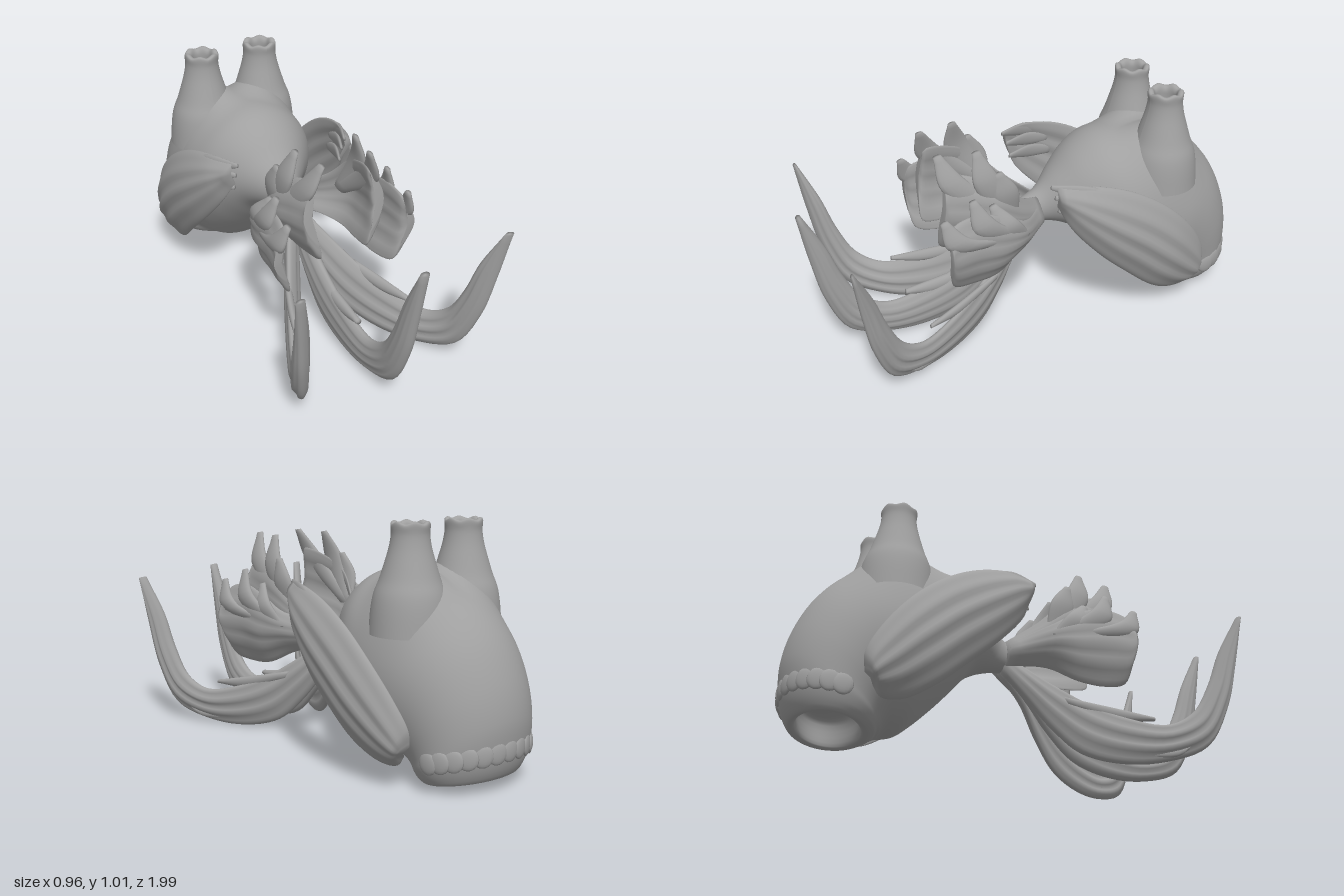
import * as THREE from 'three';

const skin = new THREE.MeshStandardMaterial({ color: 0xa0a0a0 });
skin.name = 'skin grey';

// Closed skin through oval sections. Row: [upper z,y,x, lower z,y,x, half thickness]
function loft(rows, { side = 1, bulge = 0, ridge = 0, folds = 4, steps = 5, ring = 36 } = {}) {
  const v = (z, y, x) => new THREE.Vector3(x * side, y, z);
  const upper = new THREE.CatmullRomCurve3(rows.map(r => v(r[0], r[1], r[2])));
  const lower = new THREE.CatmullRomCurve3(rows.map(r => v(r[3], r[4], r[5])));
  const thick = new THREE.CatmullRomCurve3(rows.map((r, i) => new THREE.Vector3(r[6], i * 0.1, 0)));
  const n = (rows.length - 1) * steps, pos = [], idx = [];
  for (let i = 0; i <= n; i++) {
    const t = i / n, a = upper.getPoint(t), b = lower.getPoint(t), w = thick.getPoint(t).x;
    for (let j = 0; j < ring; j++) {
      const ang = j / ring * Math.PI * 2, k = (1 - Math.cos(ang)) / 2;
      const p = a.clone().lerp(b, k);
      const fade = Math.sin(Math.PI * k) * Math.sin(Math.PI * t);
      p.x += w * Math.sin(ang) + side * (bulge * Math.sin(Math.PI * k) + ridge * fade * Math.cos(folds * 2 * Math.PI * k));
      pos.push(p.x, p.y, p.z);
    }
  }
  for (let i = 0; i < n; i++) for (let j = 0; j < ring; j++) {
    const a = i * ring + j, b = i * ring + (j + 1) % ring;
    idx.push(a, b, a + ring, b, b + ring, a + ring);
  }
  // End caps
  for (const [row, flip] of [[0, true], [n, false]]) {
    const c = new THREE.Vector3();
    for (let j = 0; j < ring; j++) c.add(new THREE.Vector3().fromArray(pos, (row * ring + j) * 3));
    c.divideScalar(ring);
    const ci = pos.length / 3;
    pos.push(c.x, c.y, c.z);
    for (let j = 0; j < ring; j++) {
      const a = row * ring + j, b = row * ring + (j + 1) % ring;
      flip ? idx.push(ci, b, a) : idx.push(a, b, ci);
    }
  }
  // Turn the faces outward
  let volume = 0;
  const at = i => new THREE.Vector3().fromArray(pos, i * 3);
  for (let i = 0; i < idx.length; i += 3) volume += at(idx[i]).dot(at(idx[i + 1]).cross(at(idx[i + 2])));
  if (volume < 0) idx.reverse();
  const g = new THREE.BufferGeometry();
  g.setAttribute('position', new THREE.Float32BufferAttribute(pos, 3));
  g.setIndex(idx);
  g.computeVertexNormals();
  return g;
}

// Centre-plane section
const mid = (za, ya, zb, yb, w) => [za, ya, 0, zb, yb, 0, w];

// Slim ray: [z,y,x] root, middle and tip; [dz,dy] half width direction
function ray(root, middle, tip, [dz, dy], w, side) {
  const rows = [[root, 0.7], [middle, 1], [tip, 0.3]].map(([p, s]) =>
    [p[0] - dz * s, p[1] + dy * s, p[2], p[0] + dz * s, p[1] - dy * s, p[2], w * (0.4 + 0.6 * s)]);
  return loft(rows, { side, ring: 16, steps: 6 });
}

// Vertex rule
function reshape(g, rule) {
  const p = g.attributes.position;
  for (let i = 0; i < p.count; i++) p.setY(i, p.getY(i) + rule(p.getX(i), p.getY(i), p.getZ(i)));
  g.computeVertexNormals();
  return g;
}

export function createModel() {
  const model = new THREE.Group();
  const add = (name, geometry) => {
    const m = new THREE.Mesh(geometry, skin);
    m.name = name;
    model.add(m);
    return m;
  };

  // Body, swelling below each eye stalk and ending in a hollow downward mouth
  const body = loft([
    mid(0.06, 0.52, 0.06, 0.42, 0.04), mid(-0.05, 0.57, -0.1, 0.41, 0.075),
    mid(-0.13, 0.65, -0.2, 0.37, 0.15), mid(-0.22, 0.74, -0.28, 0.28, 0.22),
    mid(-0.32, 0.795, -0.36, 0.19, 0.275), mid(-0.45, 0.805, -0.44, 0.11, 0.305),
    mid(-0.6, 0.785, -0.5, 0.06, 0.315), mid(-0.75, 0.72, -0.54, 0.045, 0.31),
    mid(-0.88, 0.59, -0.565, 0.04, 0.292), mid(-0.96, 0.43, -0.58, 0.035, 0.275),
    mid(-0.99, 0.29, -0.59, 0.03, 0.262), mid(-0.985, 0.19, -0.6, 0.026, 0.255),
    mid(-0.965, 0.095, -0.61, 0.018, 0.235), mid(-0.935, 0.05, -0.64, 0.006, 0.21),
    mid(-0.91, 0.06, -0.66, 0.014, 0.185), mid(-0.9, 0.16, -0.68, 0.12, 0.175),
    mid(-0.84, 0.18, -0.74, 0.15, 0.06),
  ], { ring: 64 });
  add('body', reshape(body, (x, y, z) => {
    const d = Math.hypot(Math.abs(x) - 0.147, z + 0.585);
    return y > 0.5 ? 0.11 * Math.max(0, 1 - d / 0.21) ** 1.5 * Math.min(1, (y - 0.5) / 0.1) : 0;
  }));

  // Scalloped fringe above the mouth
  for (let i = -6; i <= 6; i++) {
    const a = i * 0.25;
    const bead = add('lipScallop', new THREE.SphereGeometry(1, 14, 10));
    bead.scale.set(0.042, 0.045, 0.013);
    bead.position.set(0.256 * Math.sin(a), 0.125 + 0.045 * Math.cos(a), -0.79 - 0.19 * Math.cos(a));
    bead.rotation.y = Math.PI - a;
  }

  // Middle tail streamer
  const streamer = [
    [-0.05, 0.52, -0.05, 0.42, 0.03], [0.05, 0.46, 0.07, 0.31, 0.032],
    [0.18, 0.36, 0.18, 0.17, 0.034], [0.32, 0.27, 0.3, 0.06, 0.034],
    [0.48, 0.2, 0.47, 0.012, 0.033], [0.65, 0.17, 0.66, 0.02, 0.033],
    [0.76, 0.23, 0.83, 0.085, 0.034], [0.835, 0.36, 0.92, 0.26, 0.035],
    [0.895, 0.52, 0.965, 0.46, 0.03], [0.98, 0.69, 1.0, 0.68, 0.02]];
  add('middleTail', loft(streamer.map(r => mid(...r)), { ridge: 0.006 }));
  add('middleTailSpur', ray([0.25, 0.24, 0], [0.42, 0.2, 0], [0.57, 0.2, 0], [0.01, 0.035], 0.022, 1));

  for (const side of [1, -1]) {
    const pre = side > 0 ? 'left' : 'right';

    // Eye stalk with a wavy rim and a hollow end
    const profile = [[0.16, 0.58], [0.152, 0.67], [0.14, 0.735], [0.119, 0.79], [0.1, 0.85], [0.083, 0.91],
      [0.075, 0.96], [0.077, 1.0], [0.07, 1.012], [0.055, 1.008], [0.046, 0.985], [0.044, 0.93], [0, 0.92]];
    const stalk = new THREE.LatheGeometry(
      new THREE.SplineCurve(profile.map(p => new THREE.Vector2(...p))).getPoints(48), 40);
    const wave = (x, y, z) => Math.max(0, (y - 0.96) / 0.05) * 0.005 * (Math.cos(6 * Math.atan2(z, x)) - 1);
    add(pre + 'EyeStalk', reshape(stalk, wave)).position.set(0.147 * side, 0, -0.585);

    // Pectoral fin lying against the flank
    add(pre + 'PectoralFin', loft([
      [-0.02, 0.735, 0.27, -0.03, 0.63, 0.26, 0.012], [-0.15, 0.73, 0.315, -0.08, 0.53, 0.3, 0.022],
      [-0.3, 0.69, 0.34, -0.2, 0.39, 0.33, 0.032], [-0.45, 0.61, 0.355, -0.33, 0.27, 0.335, 0.035],
      [-0.58, 0.50, 0.355, -0.47, 0.15, 0.32, 0.035], [-0.69, 0.36, 0.33, -0.58, 0.09, 0.29, 0.032],
      [-0.74, 0.25, 0.3, -0.66, 0.09, 0.275, 0.025], [-0.73, 0.18, 0.28, -0.69, 0.13, 0.27, 0.01],
    ], { side, bulge: 0.035, ridge: 0.007, folds: 4, ring: 60 }));
    for (const [z, y] of [[0, 0.73], [-0.02, 0.675], [-0.035, 0.61]])
      add(pre + 'PectoralRay', ray([z - 0.24, y - 0.055, 0.345], [z - 0.12, y - 0.025, 0.315], [z, y, 0.262],
        [0.01, 0.03], 0.012, side));

    // Spread tail lobe curling up to a streamer
    add(pre + 'TailLobe', loft(streamer.map(([za, ya, zb, yb, w], i) => {
      const spread = Math.sin(Math.PI * Math.min(1, i / 8)), flare = 0.035 * (i / 9) ** 3;
      za *= 0.91; zb *= 0.905;
      return [za, ya * 0.975, 0.475 * Math.max(za, 0.03) + 0.035 * spread + flare,
        zb, yb * 0.975 - 0.008 * spread, 0.475 * Math.max(zb, 0.03) + flare, w];
    }), { side, ridge: 0.008, folds: 3 }));
    add(pre + 'TailSpur', ray([0.2, 0.27, 0.14], [0.4, 0.215, 0.22], [0.55, 0.2, 0.275], [0.01, 0.028], 0.018, side));
    add(pre + 'TailLowerSpur', ray([0.5, 0.05, 0.25], [0.66, 0.07, 0.33], [0.74, 0.17, 0.375], [-0.02, 0.035], 0.022, side));

    // Upper fan fin with pointed rays
    add(pre + 'UpperFan', loft([
      [-0.04, 0.55, 0.03, -0.04, 0.44, 0.03, 0.025], [0.08, 0.63, 0.13, 0.1, 0.45, 0.09, 0.02],
      [0.18, 0.73, 0.165, 0.22, 0.45, 0.12, 0.018], [0.3, 0.79, 0.145, 0.35, 0.45, 0.115, 0.02],
      [0.4, 0.81, 0.125, 0.44, 0.47, 0.11, 0.024], [0.42, 0.79, 0.13, 0.45, 0.55, 0.125, 0.015],
    ], { side, bulge: 0.045, ridge: 0.007 }));
    for (const [tip, middle] of [[[0.435, 0.895, 0.11], [0.38, 0.77, 0.155]],
      [[0.28, 0.895, 0.14], [0.25, 0.77, 0.175]], [[0.2, 0.8, 0.18], [0.17, 0.7, 0.185]]])
      add(pre + 'UpperRay', ray([0.14, 0.58, 0.16], middle, tip, [0.055, 0.012], 0.02, side));

    // Lower fan fin, cupped and flared outward
    add(pre + 'LowerFan', loft([
      [-0.04, 0.53, 0.06, -0.04, 0.43, 0.05, 0.025], [0.1, 0.58, 0.23, 0.1, 0.4, 0.16, 0.02],
      [0.2, 0.64, 0.26, 0.22, 0.34, 0.215, 0.018], [0.32, 0.68, 0.265, 0.34, 0.33, 0.23, 0.02],
      [0.43, 0.66, 0.275, 0.43, 0.35, 0.25, 0.024], [0.46, 0.61, 0.29, 0.455, 0.43, 0.275, 0.015],
    ], { side, bulge: 0.035, ridge: 0.008 }));
    for (const [tip, middle] of [[[0.475, 0.69, 0.28], [0.42, 0.59, 0.305]],
      [[0.345, 0.745, 0.26], [0.3, 0.63, 0.29]], [[0.25, 0.69, 0.235], [0.2, 0.6, 0.27]]])
      add(pre + 'LowerRay', ray([0.12, 0.51, 0.24], middle, tip, [0.05, 0.016], 0.02, side));
  }
  return model;
}
